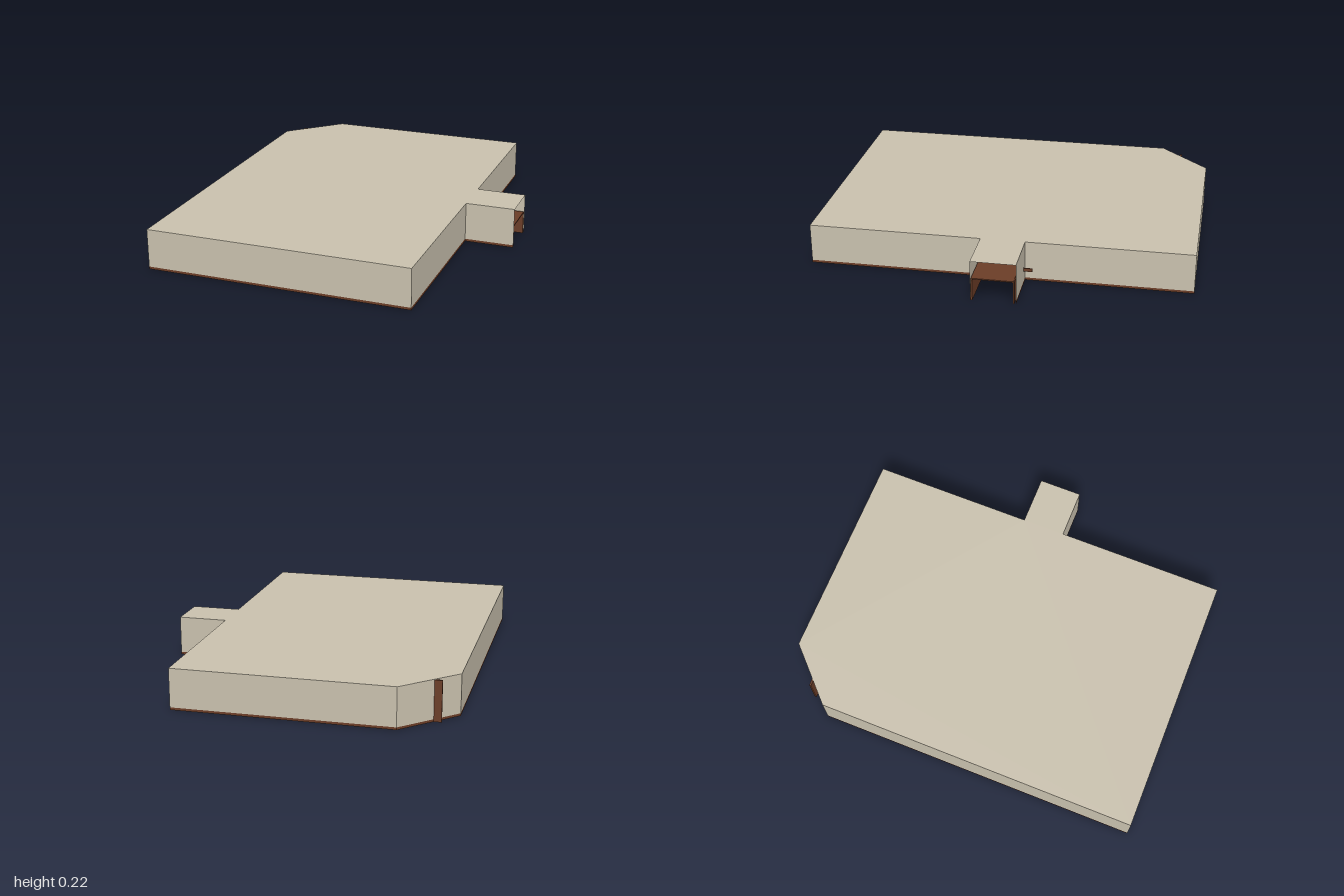
import * as THREE from 'three';

const mat = (name, color, side = THREE.FrontSide) => {
  const m = new THREE.MeshStandardMaterial({ color, side });
  m.name = name;
  return m;
};

export function createModel() {
  const model = new THREE.Group();
  const plaster = mat('plaster', 0xc8c0ad, THREE.DoubleSide);
  const wood = mat('brown wood', 0x6b3d27, THREE.DoubleSide);
  const dark = mat('dark metal', 0x352a25);
  const blue = mat('slate blue', 0x4a606c);

  const add = (name, geometry, material, x = 0, y = 0, z = 0) => {
    const mesh = new THREE.Mesh(geometry, material);
    mesh.name = name;
    mesh.position.set(x, y, z);
    model.add(mesh);
    return mesh;
  };
  const box = (name, material, w, h, d, x, y, z) =>
    add(name, new THREE.BoxGeometry(w, h, d), material, x, y, z);
  const rod = (name, r, h, x, y, z) =>
    add(name, new THREE.CylinderGeometry(r, r, h, 12), dark, x, y, z);

  // Floor plan, starting and ending at the open end of the porch
  const H = 0.215, BASE = 0.013;
  const plan = [[0.83, -0.137], [0.567, -0.137], [0.567, -1], [-0.565, -1], [-0.83, -0.737],
    [-0.83, 1], [0.567, 1], [0.567, 0.095], [0.83, 0.095]];

  // Upright strip following the plan, with flat-shaded corners
  const strip = (y0, y1) => {
    const p = [];
    for (let i = 0; i < plan.length - 1; i++) {
      const [ax, az] = plan[i], [bx, bz] = plan[i + 1];
      p.push(ax, y0, az, ax, y1, az, bx, y1, bz, ax, y0, az, bx, y1, bz, bx, y0, bz);
    }
    const g = new THREE.BufferGeometry();
    g.setAttribute('position', new THREE.Float32BufferAttribute(p, 3));
    g.computeVertexNormals();
    // Turn the faces outward
    const probe = g.getAttribute('normal');
    if (probe.getZ(0) > 0) {
      const pos = g.getAttribute('position');
      for (let i = 0; i < pos.count; i += 3) {
        const a = new THREE.Vector3().fromBufferAttribute(pos, i + 1);
        const b = new THREE.Vector3().fromBufferAttribute(pos, i + 2);
        pos.setXYZ(i + 1, b.x, b.y, b.z);
        pos.setXYZ(i + 2, a.x, a.y, a.z);
      }
      g.computeVertexNormals();
    }
    return g;
  };
  add('walls', strip(BASE, H), plaster);
  add('baseboard', strip(0, BASE), wood);

  // Flat ceiling
  const shape = new THREE.Shape(plan.map(([x, z]) => new THREE.Vector2(x, -z)));
  add('ceiling', new THREE.ShapeGeometry(shape), plaster, 0, H, 0).rotation.x = -Math.PI / 2;

  // Wooden lining of the entrance passage
  for (const z of [0.088, -0.125]) box('passageSide', wood, 0.26, 0.12, 0.008, 0.698, 0.06, z);
  box('passageTop', wood, 0.26, 0.006, 0.213, 0.698, 0.12, -0.018);
  box('passageHandle', wood, 0.006, 0.018, 0.11, 0.61, 0.08, -0.127);

  // Timber posts and the ceiling beam between two of them
  const posts = [[0.45, -0.845], [0.45, 0.335], [0.45, 0.83],
    [-0.735, -0.845], [-0.735, -0.35], [-0.735, 0.335]];
  for (const [x, z] of posts) box('post', wood, 0.04, H - 0.004, 0.01, x, H / 2 - 0.002, z);
  box('ceilingBeam', wood, 1.2, 0.012, 0.012, -0.145, H - 0.008, 0.335);

  // Thin ceiling rails
  for (const z of [-0.19, 0.9]) box('ceilingRail', dark, 1.2, 0.006, 0.006, -0.145, H - 0.005, z);

  // Four low platforms, each with a row of small seats
  for (const x of [0.05, -0.51]) {
    for (const z of [-0.55, 0.625]) {
      box('platform', plaster, 0.29, 0.018, 0.35, x, 0.062, z);
      for (let i = 0; i < 4; i++) {
        box('seat', dark, 0.03, 0.014, 0.025, x + 0.09 - i * 0.06, 0.09, z - 0.2);
      }
    }
  }

  // Reception counter
  box('counter', wood, 0.26, 0.05, 0.06, 0.09, 0.06, -0.14);

  // Hanging lamps
  for (const x of [0.2, -0.38]) {
    rod('lampRod', 0.003, 0.1, x, 0.163, -0.015);
    rod('lampCollar', 0.018, 0.005, x, 0.17, -0.015);
    rod('lampDisc', 0.018, 0.005, x, 0.11, -0.015);
  }

  // Benches and standing poles
  for (const [x, z] of [[0.38, -0.51], [0.365, 0.566], [-0.28, 0.92]]) {
    box('bench', dark, 0.13, 0.035, 0.02, x, 0.05, z);
  }
  for (const [x, z] of [[0.33, -0.536], [0.357, 0.52], [-0.33, 0.89], [-0.56, 0.94]]) {
    rod('pole', 0.003, 0.12, x, 0.06, z);
    rod('poleFoot', 0.014, 0.005, x, 0.003, z);
    rod('poleHead', 0.014, 0.006, x, 0.12, z);
  }

  // Blue corner desk with its screens
  box('cornerScreen', blue, 0.012, 0.12, 0.22, -0.78, 0.09, 0.77);
  box('cornerCabinet', blue, 0.07, 0.1, 0.06, -0.74, 0.08, 0.9);
  box('cornerDesk', blue, 0.12, 0.03, 0.07, -0.67, 0.045, 0.94);

  return model;
}
